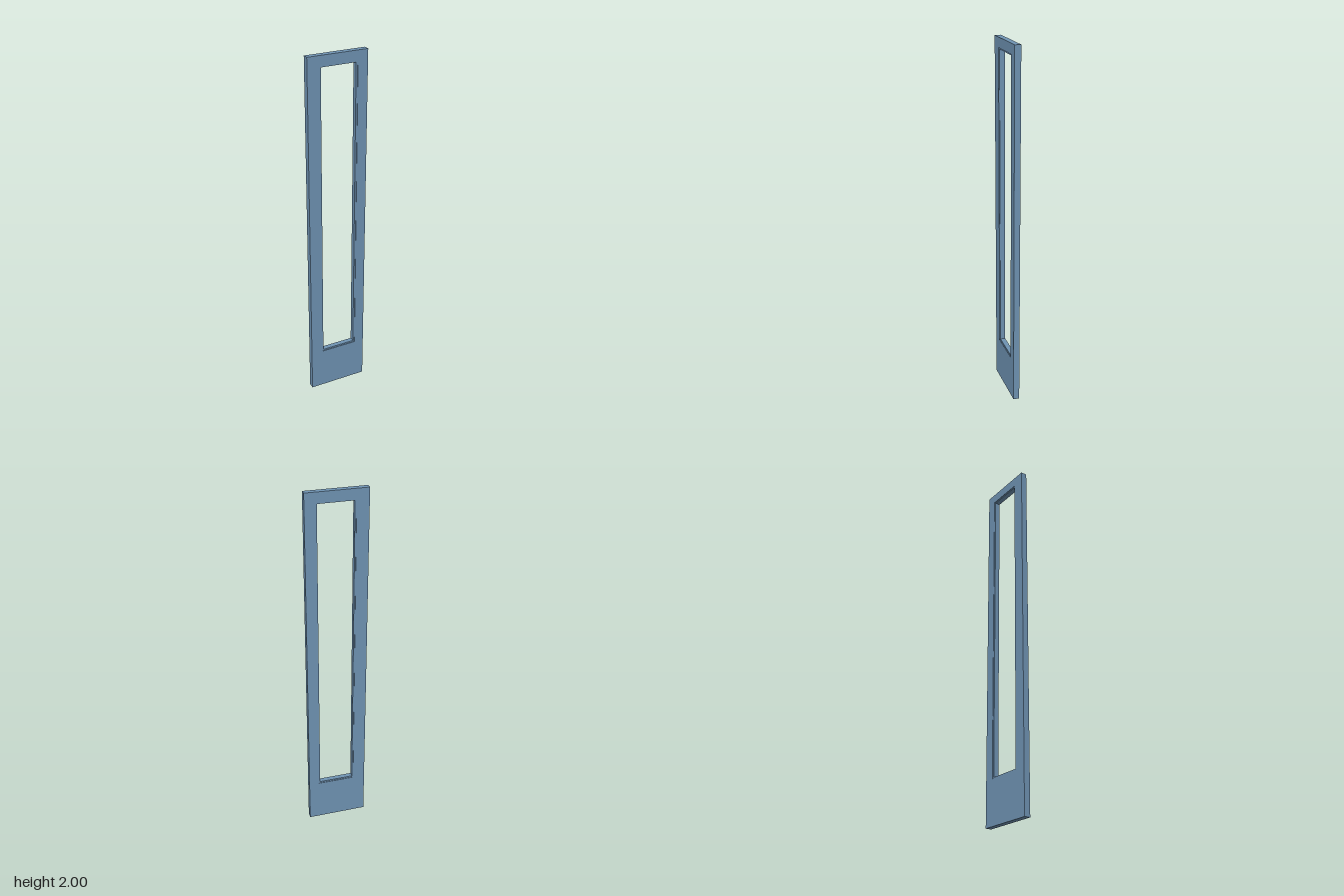
import * as THREE from 'three';

// Traces a rectangle onto a shape or path
function rect(path, x0, y0, x1, y1) {
  path.moveTo(x0, y0);
  path.lineTo(x1, y0);
  path.lineTo(x1, y1);
  path.lineTo(x0, y1);
  path.closePath();
  return path;
}

// A flat rectangular frame centred on z = 0
function frame(name, outer, inner, depth, material) {
  const shape = rect(new THREE.Shape(), ...outer);
  shape.holes.push(rect(new THREE.Path(), ...inner));
  const geometry = new THREE.ExtrudeGeometry(shape, { depth, bevelEnabled: false });
  geometry.translate(0, 0, -depth / 2);
  const mesh = new THREE.Mesh(geometry, material);
  mesh.name = name;
  return mesh;
}

export function createModel() {
  const group = new THREE.Group();
  group.name = 'doorPanel';
  const material = new THREE.MeshStandardMaterial({ color: 0x6f93b3 });

  const panel = [-0.167, 0, 0.167, 2];
  const opening = [-0.099, 0.243, 0.111, 1.946];
  const clear = [-0.092, 0.252, 0.102, 1.939];

  // Door leaf with a tall window opening and a deep bottom rail
  group.add(frame('doorLeaf', panel, opening, 0.034, material));
  // Slightly recessed lip lining the opening
  group.add(frame('windowLip', opening, clear, 0.028, material));
  return group;
}
